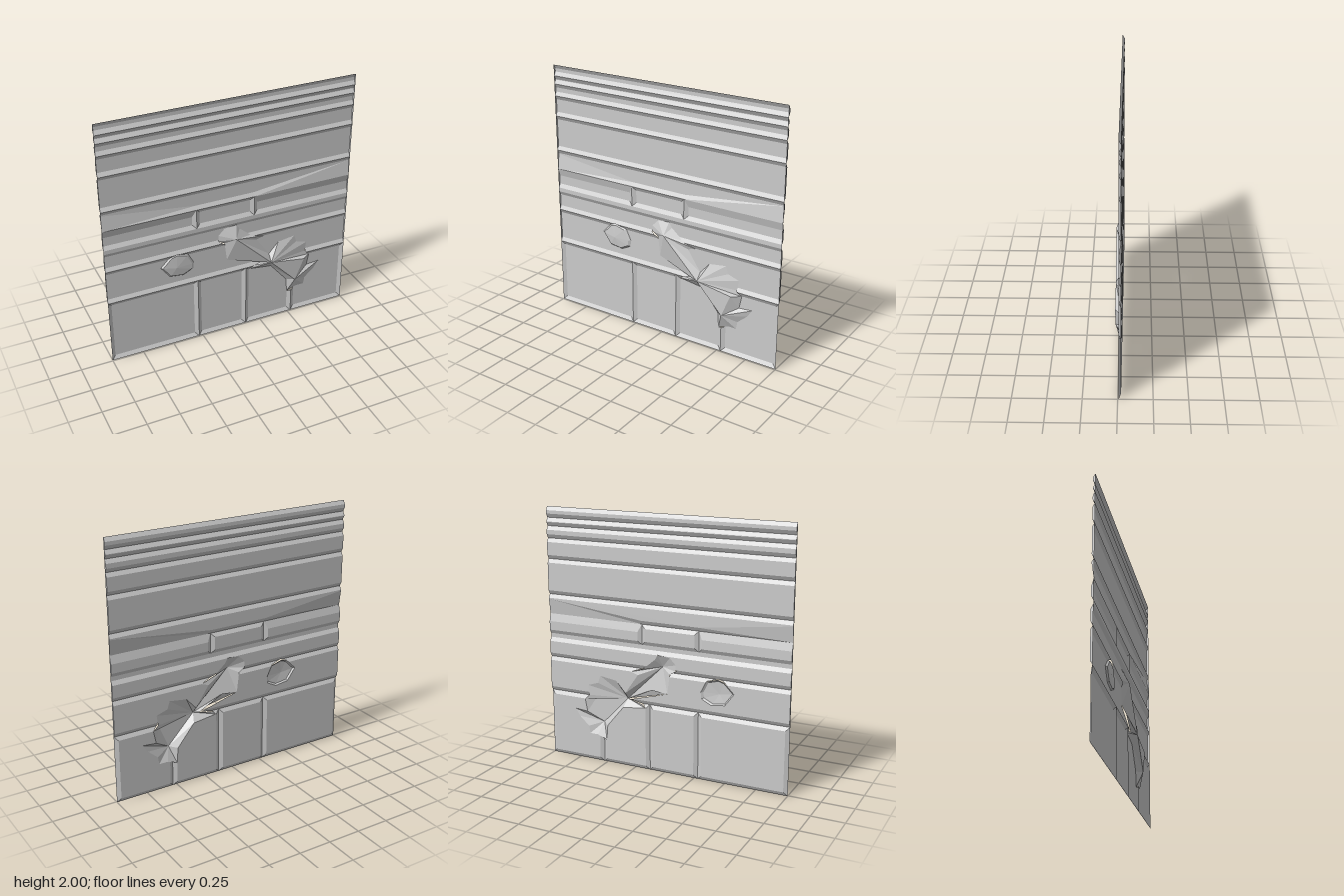
import * as THREE from 'three';

const FLAT = -0.024, SEAM = -0.007, PEAK = 0.024, B = 0.03;

// Flat-shaded mesh from a list of convex polygons
function polyMesh(polys, name, material) {
  const pos = [];
  for (const p of polys)
    for (let i = 1; i < p.length - 1; i++) pos.push(...p[0], ...p[i], ...p[i + 1]);
  const g = new THREE.BufferGeometry();
  g.setAttribute('position', new THREE.Float32BufferAttribute(pos, 3));
  g.computeVertexNormals();
  const m = new THREE.Mesh(g, material);
  m.name = name;
  return m;
}

// Recessed tray: a flat face with sloped borders (zero width = open end)
function tray(x0, x1, y0, y1, { l = 0, r = 0, b = B, t = B } = {}) {
  const o = [[x0, y0], [x1, y0], [x1, y1], [x0, y1]].map(p => [...p, SEAM]);
  const n = [[x0 + l, y0 + b], [x1 - r, y0 + b], [x1 - r, y1 - t], [x0 + l, y1 - t]].map(p => [...p, FLAT]);
  const out = [n];
  [b, r, t, l].forEach((w, i) => {
    const j = (i + 1) % 4;
    if (w > 0) out.push([o[i], o[j], n[j], n[i]]);
  });
  return out;
}

const area = t => (t[1][0] - t[0][0]) * (t[2][1] - t[0][1]) - (t[1][1] - t[0][1]) * (t[2][0] - t[0][0]);
const ccw = t => (area(t) < 0 ? [t[0], t[2], t[1]] : t);

// Keep the part of a polygon on one side of the line a-b
function clip(poly, a, b, sign) {
  const out = [];
  const d = p => sign * ((b[0] - a[0]) * (p[1] - a[1]) - (b[1] - a[1]) * (p[0] - a[0]));
  poly.forEach((p, i) => {
    const q = poly[(i + 1) % poly.length], dp = d(p), dq = d(q);
    if (dp >= 0) out.push(p);
    if (dp * dq < 0) out.push(p.map((v, k) => v + (q[k] - v) * dp / (dp - dq)));
  });
  return out;
}

// Cut a triangle's outline out of a set of polygons
function cut(polys, tri) {
  if (Math.abs(area(tri)) < 1e-6) return polys;
  const out = [];
  for (const p of polys) {
    let rest = p;
    const pieces = [];
    for (let i = 0; i < 3 && rest.length > 2; i++) {
      const a = tri[i], b = tri[(i + 1) % 3];
      const outside = clip(rest, a, b, -1);
      if (outside.length > 2) pieces.push(outside);
      rest = clip(rest, a, b, 1);
    }
    if (rest.length > 2) out.push(...pieces);
    else out.push(p);
  }
  return out;
}

// Join an outer loop [x, y, ridge index] to inner ridge points
function facets(outer, ridge) {
  const tris = [];
  outer.forEach((p, i) => {
    const q = outer[(i + 1) % outer.length];
    const a = [p[0], p[1], FLAT], b = [q[0], q[1], FLAT];
    tris.push(ccw([a, b, ridge[p[2]]]));
    if (p[2] !== q[2]) tris.push(ccw([b, ridge[p[2]], ridge[q[2]]]));
  });
  return tris;
}

export function createModel() {
  const group = new THREE.Group();
  group.name = 'reliefPanel';
  const grey = new THREE.MeshStandardMaterial({ color: 0xcccccc, side: THREE.DoubleSide });
  grey.name = 'stone grey';

  // Full-width horizontal planks
  const rows = [[1.914, 2], [1.85, 1.914], [1.756, 1.85], [1.595, 1.756], [1.317, 1.595], [0.812, 0.968], [0.533, 0.812]];
  let planks = rows.flatMap(([y0, y1]) => tray(-1, 1, y0, y1));
  const caps = rows.map(r => [...r, B, B]);

  // Plank whose lower slope widens towards both ends
  const y0 = 1.16, y1 = 1.317, lx = -0.28, rx = 0.19;
  planks.push(
    [[-1, y1 - B, SEAM], [1, y1 - B, SEAM], [1, y1, SEAM], [-1, y1, SEAM]].map((p, i) => (i < 2 ? [p[0], p[1], FLAT] : p)),
    [[lx, y0 + B, FLAT], [rx, y0 + B, FLAT], [1, 1.28, FLAT], [1, y1 - B, FLAT], [-1, y1 - B, FLAT], [-1, 1.28, FLAT]],
    [[lx, y0, SEAM], [rx, y0, SEAM], [rx, y0 + B, FLAT], [lx, y0 + B, FLAT]],
    [[-1, y0, SEAM], [lx, y0, SEAM], [lx, y0 + B, FLAT], [-1, 1.28, FLAT]],
    [[rx, y0, SEAM], [1, y0, SEAM], [1, 1.28, FLAT], [rx, y0 + B, FLAT]]);
  caps.push([y0, y1, 0.12, B]);

  // Row of three blocks with a flat ledge below
  planks.push(
    ...tray(-1, lx, 1, y0, { r: B, t: 0.06 }),
    ...tray(lx, rx, 1, y0, { l: B, r: B }),
    ...tray(rx, 1, 1, y0, { l: B, t: 0.06 }),
    [[-1, 0.968, SEAM], [1, 0.968, SEAM], [1, 1, SEAM], [-1, 1, SEAM]]);
  caps.push([1, y0, B, 0.06]);

  // Lower panels
  const xs = [-1, -0.28, 0.125, 0.53, 1];
  let panels = xs.slice(1).flatMap((x, i) => tray(xs[i], x, 0, 0.533, { l: B, r: B }));

  // Small faceted boss
  const rim = [[-0.57, 0.72], [-0.49, 0.80], [-0.44, 0.815], [-0.35, 0.79], [-0.305, 0.70], [-0.31, 0.65], [-0.39, 0.61], [-0.50, 0.625]];
  const mid = [-0.45, 0.70];
  const ring = rim.map(p => [mid[0] + (p[0] - mid[0]) * 0.88, mid[1] + (p[1] - mid[1]) * 0.88, -0.012]);
  const boss = facets(rim.map((p, i) => [...p, i]), ring);
  ring.forEach((p, i) => boss.push(ccw([p, ring[(i + 1) % ring.length], [...mid, -0.003]])));

  // Large branching relief
  const ridge = [[0.03, 0.84], [0.33, 0.545], [0.62, 0.50], [0.545, 0.32]].map(p => [...p, PEAK]);
  const outline = [
    [-0.05, 0.93, 0], [0.05, 0.94, 0], [0.075, 0.90, 0], [0.17, 0.82, 0], [0.28, 0.78, 0], [0.22, 0.76, 0],
    [0.33, 0.60, 1], [0.41, 0.69, 1], [0.55, 0.71, 1], [0.57, 0.65, 1], [0.66, 0.62, 1], [0.65, 0.54, 1],
    [0.69, 0.50, 2], [0.67, 0.40, 3], [0.78, 0.41, 3], [0.74, 0.35, 3], [0.66, 0.28, 3], [0.65, 0.22, 3],
    [0.58, 0.22, 3], [0.50, 0.19, 3], [0.49, 0.31, 3],
    [0.35, 0.48, 1], [0.16, 0.505, 1], [0.18, 0.53, 1], [0.30, 0.56, 1], [0.10, 0.66, 1],
    [-0.03, 0.645, 0], [-0.05, 0.80, 0], [-0.10, 0.83, 0], [-0.10, 0.88, 0]];
  const branch = facets(outline, ridge);
  branch.push(ccw([ridge[1], ridge[2], ridge[3]]));

  // Open the panel behind the reliefs so they show from both sides
  for (const t of [...boss, ...branch]) {
    planks = cut(planks, t);
    panels = cut(panels, t);
  }

  // End caps on both sides
  const ends = [-1, 1].flatMap(x => caps.map(([a, b, lo, hi]) =>
    [[x, a, SEAM], [x, a + lo, FLAT], [x, b - hi, FLAT], [x, b, SEAM]]));

  group.add(
    polyMesh(planks, 'planks', grey),
    polyMesh(panels, 'lowerPanels', grey),
    polyMesh(ends, 'endCaps', grey),
    polyMesh(boss, 'smallBoss', grey),
    polyMesh(branch, 'branchRelief', grey));
  return group;
}
